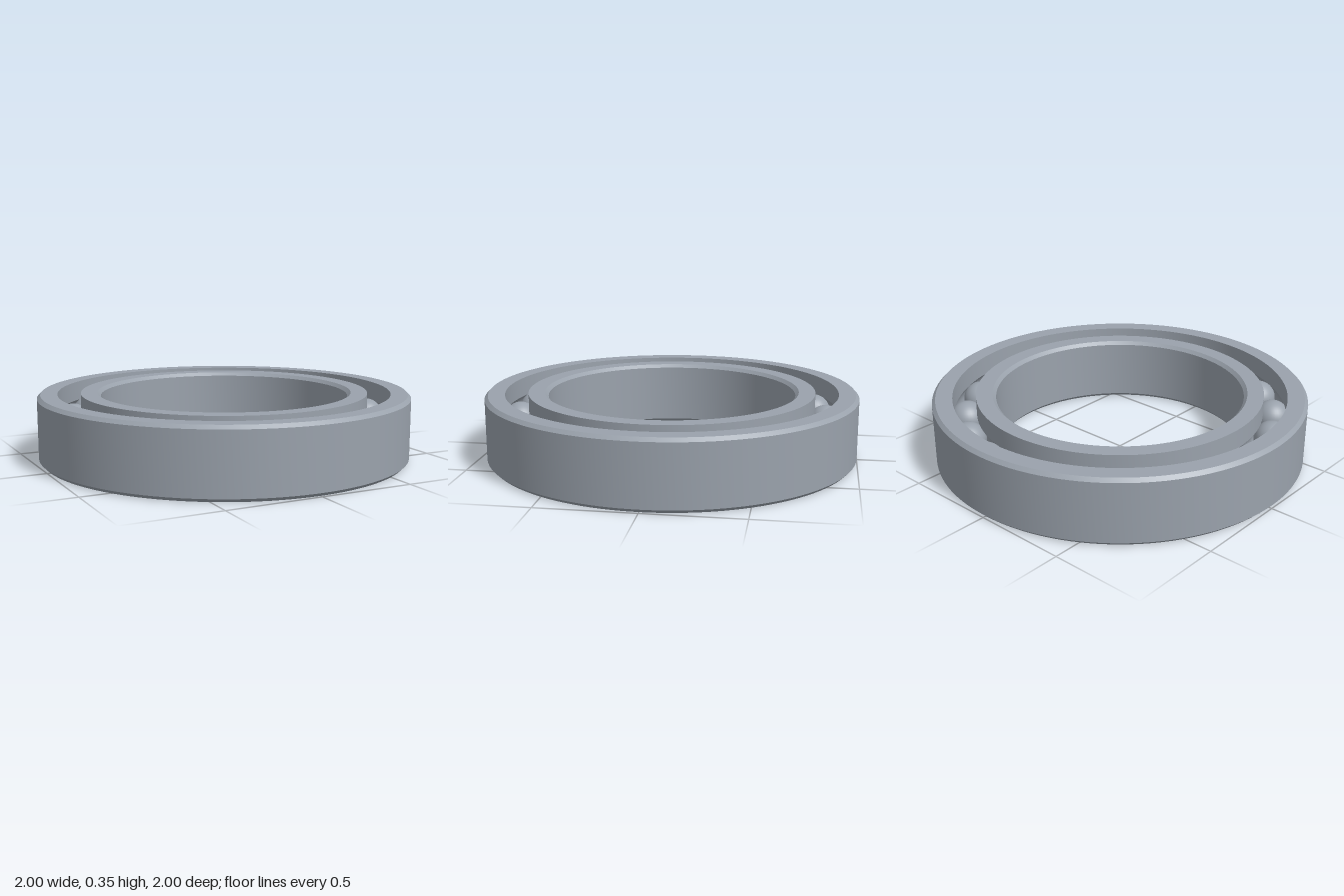
import * as THREE from 'three';
import { toCreasedNormals } from 'three/addons/utils/BufferGeometryUtils.js';

const HEIGHT = 0.355, MID = HEIGHT / 2, CHAMFER = 0.018;
const BORE = 0.664, INNER_LAND = 0.77, OUTER_LAND = 0.893, RIM = 1;
const PITCH = 0.8315, BALL_RADIUS = 0.094, BALL_COUNT = 20;

// Points of the ball groove cut into a land, running up (dir = 1) or down (dir = -1)
function groove(land, dir) {
  const r = BALL_RADIUS + 0.001;
  const side = Math.sign(land - PITCH);
  const limit = Math.acos(Math.abs(land - PITCH) / r);
  const points = [];
  for (let i = 0; i <= 12; i++) {
    const a = dir * limit * (i / 6 - 1);
    points.push([PITCH + side * r * Math.cos(a), MID + r * Math.sin(a)]);
  }
  return points;
}

// Revolved ring with sharp chamfers and a smooth round surface
function ring(name, profile, material) {
  const points = profile.map(([r, y]) => new THREE.Vector2(r, y));
  const mesh = new THREE.Mesh(toCreasedNormals(new THREE.LatheGeometry(points, 128), 0.4), material);
  mesh.name = name;
  return mesh;
}

export function createModel() {
  const group = new THREE.Group();
  group.name = 'ballBearing';
  const steel = new THREE.MeshStandardMaterial({ color: 0x9aa2ac });
  steel.name = 'steel';

  // Outer race, chamfered on its rim
  group.add(ring('outerRace', [
    [RIM - CHAMFER, 0], [RIM, CHAMFER], [RIM, HEIGHT - CHAMFER], [RIM - CHAMFER, HEIGHT],
    [OUTER_LAND, HEIGHT], ...groove(OUTER_LAND, -1), [OUTER_LAND, 0], [RIM - CHAMFER, 0],
  ], steel));

  // Inner race, chamfered on its bore
  group.add(ring('innerRace', [
    [INNER_LAND, 0], ...groove(INNER_LAND, 1), [INNER_LAND, HEIGHT],
    [BORE + CHAMFER, HEIGHT], [BORE, HEIGHT - CHAMFER], [BORE, CHAMFER],
    [BORE + CHAMFER, 0], [INNER_LAND, 0],
  ], steel));

  // Balls spaced evenly around the pitch circle
  const balls = new THREE.Group();
  balls.name = 'balls';
  const ballGeometry = new THREE.SphereGeometry(BALL_RADIUS, 32, 20);
  for (let i = 0; i < BALL_COUNT; i++) {
    const a = (i / BALL_COUNT) * Math.PI * 2 - THREE.MathUtils.degToRad(6);
    const ball = new THREE.Mesh(ballGeometry, steel);
    ball.name = 'ball';
    ball.position.set(PITCH * Math.cos(a), MID, PITCH * Math.sin(a));
    balls.add(ball);
  }
  group.add(balls);
  return group;
}
